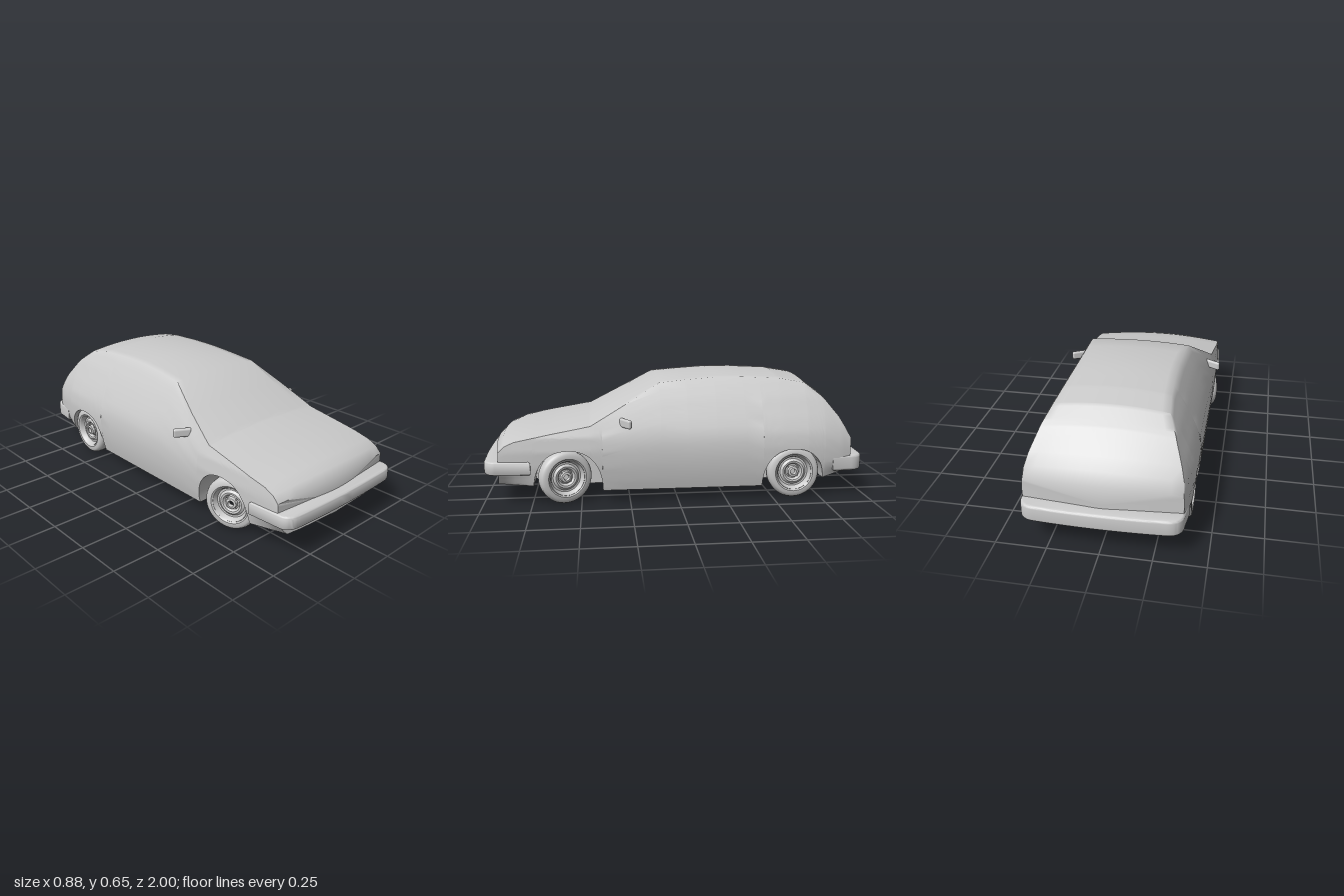
import * as THREE from 'three';
import { toCreasedNormals } from 'three/addons/utils/BufferGeometryUtils.js';
import { RoundedBoxGeometry } from 'three/addons/geometries/RoundedBoxGeometry.js';

const material = new THREE.MeshStandardMaterial({ color: 0xcccccc });
const openMaterial = new THREE.MeshStandardMaterial({ color: 0xcccccc, side: THREE.DoubleSide });

function part(name, geometry, mat = material) {
  const mesh = new THREE.Mesh(geometry, mat);
  mesh.name = name;
  return mesh;
}

// Linear lookup in rows sorted by their first column
function lookup(rows, t, col = 1) {
  let i = 0;
  while (i < rows.length - 2 && t > rows[i + 1][0]) i++;
  const k = THREE.MathUtils.clamp((t - rows[i][0]) / (rows[i + 1][0] - rows[i][0]), 0, 1);
  return THREE.MathUtils.lerp(rows[i][col], rows[i + 1][col], k);
}

// Body stations: z, centre top, roof or hood edge, width factor, floor
const stations = [
  [-0.945, 0.34, 0.315, 0.925, 0.14],
  [-0.91, 0.395, 0.37, 0.945, 0.135],
  [-0.87, 0.45, 0.425, 0.96, 0.125],
  [-0.78, 0.545, 0.52, 0.98, 0.107],
  [-0.68, 0.618, 0.597, 0.995, 0.07],
  [-0.55, 0.64, 0.62, 1, 0.07],
  [-0.35, 0.65, 0.63, 1, 0.07],
  [-0.2, 0.65, 0.63, 1, 0.07],
  [-0.05, 0.636, 0.62, 1, 0.07],
  [0.09, 0.62, 0.607, 1, 0.07],
  [0.27, 0.524, 0.505, 1, 0.07],
  [0.45, 0.427, 0.405, 1, 0.07],
  [0.65, 0.39, 0.37, 0.99, 0.07],
  [0.74, 0.375, 0.353, 0.985, 0.105],
  [0.85, 0.355, 0.334, 0.97, 0.105],
  [0.91, 0.335, 0.312, 0.96, 0.105],
  [0.945, 0.3, 0.28, 0.95, 0.105],
];

// Half width of the body at each height
const sideCurve = [
  [0.07, 0.385], [0.12, 0.397], [0.2, 0.408], [0.28, 0.41], [0.35, 0.4],
  [0.42, 0.373], [0.53, 0.32], [0.635, 0.255],
];

const arches = [
  { z: -0.605, half: 0.165, height: 0.197 },
  { z: 0.565, half: 0.175, height: 0.215 },
];
const WELL_X = 0.24;

function archHeight(z) {
  let y = 0;
  for (const a of arches) {
    const t = Math.abs((z - a.z) / a.half);
    if (t < 1) y = 0.07 + a.height * Math.pow(1 - Math.pow(t, 2.3), 1 / 2.3);
  }
  return y;
}

// One closed cross-section: floor, wheel well, side, then crowned top
function bodyRing(z) {
  const [top, edge, scale, floor] = [1, 2, 3, 4].map((c) => lookup(stations, z, c));
  const low = Math.max(floor, archHeight(z));
  const end = THREE.MathUtils.clamp((Math.abs(z) - 0.75) / 0.18, 0, 1);
  const width = (y) => lookup(sideCurve, y) * scale - end * 0.7 * Math.max(0, 0.17 - y);
  const half = [[0, floor], [WELL_X, floor], [WELL_X, low]];
  const SIDE = 14, TOP = 7;
  for (let i = 0; i <= SIDE; i++) {
    const y = THREE.MathUtils.lerp(low, edge, i / SIDE);
    half.push([width(y), y]);
  }
  for (let i = 1; i <= TOP; i++) {
    const u = 1 - i / TOP;
    half.push([width(edge) * u, top + (edge - top) * u * u]);
  }
  const mirrored = half.slice(1, -1).reverse().map(([x, y]) => [-x, y]);
  // The nose and tail bow in plan
  return [...half, ...mirrored].map(([x, y]) =>
    [x, y, z - Math.sign(z) * end * 0.035 * (x / 0.4) ** 2]);
}

function bodyGeometry() {
  const zs = stations.map((s) => s[0]);
  for (const a of arches) {
    for (let i = 0; i <= 28; i++) zs.push(a.z - a.half * Math.cos(Math.PI * i / 28));
  }
  zs.sort((a, b) => a - b);
  const rings = zs.filter((z, i) => i === 0 || z - zs[i - 1] > 1e-4).map(bodyRing);
  const n = rings[0].length, last = rings.length - 1;
  const points = rings.flat(), index = [];
  for (let i = 0; i < last; i++) {
    for (let j = 0; j < n; j++) {
      const k = (j + 1) % n;
      const a = i * n + j, b = i * n + k, c = b + n, d = a + n;
      index.push(a, b, c, a, c, d);
    }
  }
  // Nose and tail closing faces
  const tail = points.push([0, 0.24, zs[0]]) - 1;
  const nose = points.push([0, 0.2, zs[zs.length - 1]]) - 1;
  for (let j = 0; j < n; j++) {
    const k = (j + 1) % n;
    index.push(tail, k, j, nose, last * n + j, last * n + k);
  }
  const g = new THREE.BufferGeometry();
  g.setAttribute('position', new THREE.Float32BufferAttribute(points.flat(), 3));
  g.setIndex(index);
  return toCreasedNormals(g, 1.0);
}

// Wrap-round bumper: plan outline extruded upward with a soft edge
function bumperGeometry(side, start, corner, tip, w0, w1, y0, y1) {
  const b = 0.014, s = new THREE.Shape();
  const p = (x, z) => [x, side * z];
  s.moveTo(...p(-w0 + b, start));
  s.lineTo(...p(-w1 + b, corner));
  s.quadraticCurveTo(...p(-w1 + b, tip - b - 0.012), ...p(-w1 + 0.08, tip - b - 0.01));
  s.quadraticCurveTo(...p(0, tip - b + 0.01), ...p(w1 - 0.08, tip - b - 0.01));
  s.quadraticCurveTo(...p(w1 - b, tip - b - 0.012), ...p(w1 - b, corner));
  s.lineTo(...p(w0 - b, start));
  s.closePath();
  const g = new THREE.ExtrudeGeometry(s, {
    depth: y1 - y0 - 2 * b, bevelThickness: b, bevelSize: b, bevelSegments: 4, curveSegments: 14,
  });
  g.rotateX(Math.PI / 2).translate(0, y1 - b, 0);
  return toCreasedNormals(g, 0.7);
}

function lathe(points, closed = false) {
  const v = points.map(([r, y]) => new THREE.Vector2(r, y));
  if (closed) v.push(v[0].clone());
  return toCreasedNormals(new THREE.LatheGeometry(v, 48), 0.6);
}

// Wheel built along y with the outer face at +y
function makeWheel(name, side) {
  const wheel = new THREE.Group();
  wheel.name = name;
  const spin = new THREE.Group();
  spin.rotation.z = -side * Math.PI / 2;
  spin.add(part('tyre', lathe([
    [0.09, -0.036], [0.1, -0.043], [0.118, -0.042], [0.13, -0.034], [0.136, -0.02],
    [0.137, 0], [0.136, 0.02], [0.13, 0.034], [0.118, 0.042], [0.1, 0.043], [0.09, 0.036],
  ], true), openMaterial));
  spin.add(part('rim', lathe([
    [0.092, -0.036], [0.084, -0.03], [0.082, 0.01], [0.086, 0.03], [0.093, 0.038],
    [0.091, 0.04], [0.084, 0.03], [0.078, 0.014], [0.068, 0.014], [0.056, 0.024],
    [0.046, 0.022], [0.037, 0.008], [0.03, 0.01], [0.027, 0.027], [0.016, 0.03], [0.012, 0.012],
  ]), openMaterial));
  for (let i = 0; i < 4; i++) {
    const a = i * Math.PI / 2 + Math.PI / 4;
    const bolt = part('wheelBolt', new THREE.CylinderGeometry(0.004, 0.004, 0.012, 6));
    bolt.position.set(0.034 * Math.cos(a), 0.012, 0.034 * Math.sin(a));
    spin.add(bolt);
  }
  wheel.add(spin);
  return wheel;
}

export function createModel() {
  const car = new THREE.Group();
  car.name = 'hatchbackCar';
  car.add(part('body', bodyGeometry()));
  car.add(part('frontBumper', bumperGeometry(1, 0.765, 0.92, 1, 0.412, 0.4, 0.165, 0.235)));
  car.add(part('rearBumper', bumperGeometry(-1, 0.83, 0.91, 1, 0.395, 0.385, 0.138, 0.222)));

  for (const side of [1, -1]) {
    const label = side > 0 ? 'left' : 'right';

    // Front wheels are steered towards the left
    const front = makeWheel(label + 'FrontWheel', side);
    front.position.set(side * 0.342, 0.139, 0.583);
    front.rotation.y = 0.35;
    const rear = makeWheel(label + 'RearWheel', side);
    rear.position.set(side * 0.352, 0.139, -0.608);

    const mirror = part(label + 'DoorMirror', new RoundedBoxGeometry(0.095, 0.046, 0.024, 4, 0.011));
    mirror.position.set(side * 0.398, 0.42, 0.272);
    mirror.rotation.y = side * 0.52;
    car.add(front, rear, mirror);
  }
  return car;
}
